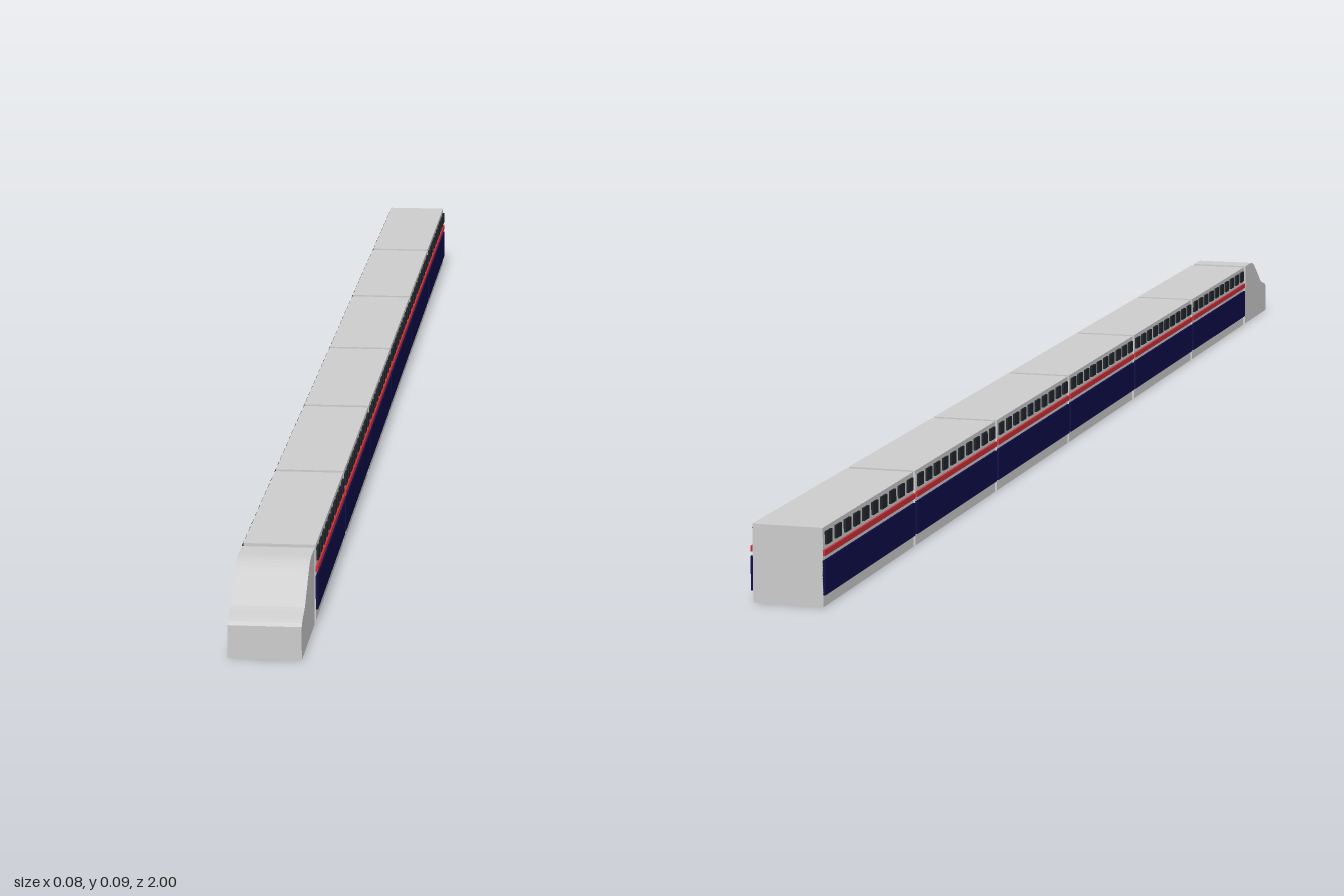
import * as THREE from 'three';

const HALF = 0.039, TOP = 0.085, PITCH = 0.311, LENGTH = 0.303, CARS = 6, WINDOWS = 10;

const grey = new THREE.MeshStandardMaterial({ color: 0xcccccc });
const navy = new THREE.MeshStandardMaterial({ color: 0x0c0c48 });
const red = new THREE.MeshStandardMaterial({ color: 0xc83038 });
const dark = new THREE.MeshStandardMaterial({ color: 0x20242a });

function box(name, material, w, h, d, x, y, z) {
  const mesh = new THREE.Mesh(new THREE.BoxGeometry(w, h, d), material);
  mesh.name = name;
  mesh.position.set(x, y, z);
  return mesh;
}

// One passenger car, centred on z = 0
function makeCar() {
  const car = new THREE.Group();
  car.add(box('carBody', grey, HALF * 2, TOP, LENGTH, 0, TOP / 2, 0));
  for (const side of [-1, 1]) {
    const x = side * (HALF + 0.001);
    car.add(box('lowerBand', navy, 0.003, 0.037, LENGTH, x, 0.0315, 0));
    car.add(box('thinStripe', red, 0.003, 0.006, LENGTH, x, 0.058, 0));
    const step = LENGTH / WINDOWS;
    for (let i = 0; i < WINDOWS; i++) {
      const z = -LENGTH / 2 + (i + 0.5) * step;
      car.add(box('window', dark, 0.003, 0.014, step * 0.58, x, 0.073, z));
    }
  }
  return car;
}

// Streamlined nose: side profile extruded across the width
function makeNose() {
  const shape = new THREE.Shape();
  shape.moveTo(0.87, 0);
  shape.lineTo(1, 0);
  shape.lineTo(1, 0.036);
  shape.bezierCurveTo(0.995, 0.043, 0.98, 0.043, 0.968, 0.048);
  shape.lineTo(0.93, 0.075);
  shape.quadraticCurveTo(0.917, 0.085, 0.9, TOP);
  shape.lineTo(0.87, TOP);
  shape.closePath();
  const geometry = new THREE.ExtrudeGeometry(shape, { depth: HALF * 2, bevelEnabled: false, curveSegments: 5 });
  geometry.rotateY(-Math.PI / 2);
  geometry.translate(HALF, 0, 0);
  const nose = new THREE.Mesh(geometry, grey);
  nose.name = 'nose';
  return nose;
}

export function createModel() {
  const train = new THREE.Group();
  train.name = 'train';
  train.add(makeNose());
  for (let i = 0; i < CARS; i++) {
    const car = makeCar();
    car.name = 'passengerCar' + (i + 1);
    car.position.z = -1 + LENGTH / 2 + i * PITCH;
    train.add(car);
  }
  return train;
}
